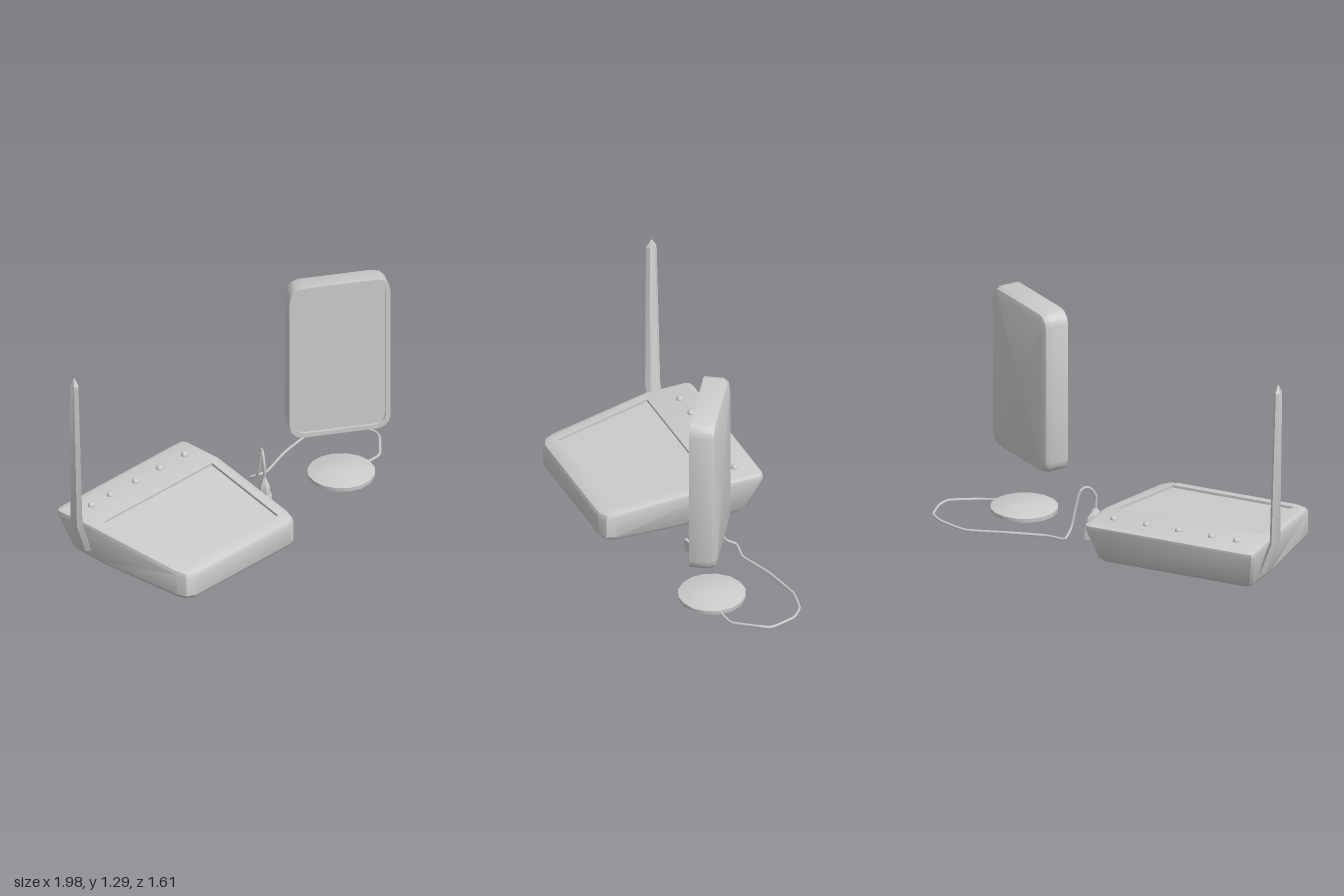
import * as THREE from 'three';
import { mergeGeometries, toCreasedNormals } from 'three/addons/utils/BufferGeometryUtils.js';

const material = new THREE.MeshStandardMaterial({ color: 0xcccccc });

function part(name, geometry, crease = 0.6) {
  const mesh = new THREE.Mesh(crease ? toCreasedNormals(geometry, crease) : geometry, material);
  mesh.name = name;
  return mesh;
}

// Skin a stack of convex rings (each clockwise seen from above), with optional end caps
function loft(rings, capStart = true, capEnd = true) {
  const n = rings[0].length, pos = rings.flat(2), index = [];
  for (let r = 0; r < rings.length - 1; r++) {
    for (let i = 0; i < n; i++) {
      const a = r * n + i, b = r * n + (i + 1) % n;
      index.push(a, a + n, b, b, a + n, b + n);
    }
  }
  const cap = (r, flip) => {
    const m = pos.length / 3;
    for (let k = 0; k < 3; k++) pos.push(rings[r].reduce((s, p) => s + p[k], 0) / n);
    for (let i = 0; i < n; i++) {
      const a = r * n + i, b = r * n + (i + 1) % n;
      index.push(m, flip ? b : a, flip ? a : b);
    }
  };
  if (capStart) cap(0, false);
  if (capEnd) cap(rings.length - 1, true);
  const g = new THREE.BufferGeometry();
  g.setAttribute('position', new THREE.Float32BufferAttribute(pos, 3));
  g.setIndex(index);
  return g.toNonIndexed();
}

const mirrored = half => [...half, ...half.map(([u, v]) => [-u, v]).reverse()];
const deckHeight = v => 0.285 - Math.max(0, v - 0.28) * 0.125;

// Tapered housing: raked back wall, flat rear deck, sloping front deck with a recess
function housingGeometry() {
  const outline = mirrored([[0.47, 0], [0.505, 0.008], [0.515, 0.03], [0.512, 0.27],
    [0.447, 0.86], [0.425, 0.918], [0.375, 0.945]]);
  const ring = (inset, height) => outline.map(([u, v]) => {
    const k = 1 - inset / 0.47, u1 = u * k, v1 = 0.47 + (v - 0.47) * k;
    const y = height(v1), rake = (0.285 - y) / 0.25 * (1 - v / 0.945);
    return [u1 * (1 - 0.12 * rake), y, v1 + 0.1 * rake];
  });
  const rings = [
    ring(0.045, () => 0.03), ring(0.014, () => 0.04), ring(0, () => 0.062),
    ring(0, v => deckHeight(v) - 0.03), ring(0.008, v => deckHeight(v) - 0.01), ring(0.028, deckHeight),
  ];
  const top = rings.at(-1);
  const screen = mirrored([[0.43, 0.3], [0.362, 0.862]]);
  const toPoint = ([u, v]) => new THREE.Vector2(u, -v);
  const deck = (points, hole) => {
    const shape = new THREE.Shape(points.map(([u, , v]) => toPoint([u, v])));
    if (hole) shape.holes.push(new THREE.Path(hole.map(toPoint)));
    const g = new THREE.ShapeGeometry(shape).rotateX(-Math.PI / 2).toNonIndexed();
    const p = g.attributes.position;
    for (let i = 0; i < p.count; i++) p.setY(i, deckHeight(p.getZ(i)));
    g.deleteAttribute('normal');
    g.deleteAttribute('uv');
    return g;
  };
  const recess = [0, 0.015].map(d => screen.map(([u, v]) => [u, deckHeight(v) - d, v]));
  return mergeGeometries([
    loft(rings, true, false),
    deck([...top.slice(0, 4), ...top.slice(10)]),
    deck(top.slice(3, 11), screen),
    loft(recess, false, true),
  ]);
}

// Flat blade antenna that follows the side wall, then stands up to a point
function antennaGeometry() {
  const sections = [[-0.48, 0.1, 0.04, 0.02], [-0.55, 0.29, 0.045, 0.021],
    [-0.569, 1.175, 0.032, 0.017], [-0.569, 1.22, 0.003, 0.002]];
  return loft(sections.map(([u, y, a, b]) => [[b, -a / 2], [b, a / 2], [0, a], [-b, a / 2], [-b, -a / 2], [0, -a]]
    .map(([du, dv]) => [u + du, y, 0.214 + dv])));
}

// Upright tablet: rounded back edges, sharp front rim, recessed screen
function tabletGeometry() {
  const ring = (inset, y) => {
    const r = 0.075 - inset * 0.5, w = 0.283 - inset - r, h = 0.473 - inset - r, points = [];
    for (let c = 0; c < 4; c++) {
      for (let s = 0; s <= 3; s++) {
        const t = (c + s / 3) * Math.PI / 2;
        points.push([(c === 0 || c === 3 ? w : -w) + r * Math.cos(t), y, (c < 2 ? h : -h) + r * Math.sin(t)]);
      }
    }
    return points;
  };
  return loft([ring(0.045, -0.145), ring(0.014, -0.134), ring(0, -0.105), ring(0, 0),
    ring(0.026, 0), ring(0.026, -0.015)]).rotateX(Math.PI / 2);
}

// Hexagonal plug, long in z, narrowing to the cable
function plugGeometry() {
  const levels = [[0, 1], [0.07, 1], [0.071, 0.74], [0.125, 0.72], [0.15, 0.38], [0.17, 0.2]];
  return loft(levels.map(([y, s]) => Array.from({ length: 6 }, (_, i) => {
    const t = i * Math.PI / 3 + Math.PI / 6;
    return [0.041 * s * Math.cos(t), y, 0.068 * s * Math.sin(t)];
  })));
}

export function createModel() {
  const model = new THREE.Group();

  const router = new THREE.Group();
  router.name = 'router';
  router.position.set(-0.58, 0, -0.2);
  router.rotation.y = 0.572;
  router.add(part('housing', housingGeometry()), part('antenna', antennaGeometry(), 0.4));
  for (const u of [-0.354, -0.203, -0.006, 0.186, 0.382]) {
    const light = part('indicatorLight', new THREE.SphereGeometry(0.02, 12, 8), 0);
    light.position.set(u, 0.287, 0.139);
    router.add(light);
  }

  const tablet = part('tablet', tabletGeometry());
  tablet.position.set(0.673, 0.818, -0.22);

  // Low charging disc
  const profile = [[0, 0.02], [0.17, 0.02], [0.185, 0.028], [0.187, 0.052], [0.09, 0.077], [0, 0.08]];
  const disc = part('chargingDisc',
    new THREE.LatheGeometry(profile.map(p => new THREE.Vector2(...p)), 16));
  disc.position.set(0.7, 0, -0.305);

  const plug = part('plug', plugGeometry());
  plug.position.set(0.23, 0, -0.147);

  // Cable arches out of the plug and runs along the ground to the disc
  const path = [[0.23, 0.16, -0.145], [0.23, 0.24, -0.14], [0.23, 0.295, -0.175], [0.232, 0.308, -0.21],
    [0.232, 0.29, -0.245], [0.235, 0.2, -0.27], [0.233, 0.12, -0.29], [0.225, 0.08, -0.31],
    [0.2, 0.045, -0.365], [0.31, 0.04, -0.415], [0.445, 0.045, -0.575], [0.615, 0.038, -0.74],
    [0.77, 0.05, -0.8], [0.87, 0.052, -0.785], [0.975, 0.045, -0.68], [0.988, 0.052, -0.61],
    [0.95, 0.035, -0.45], [0.86, 0.045, -0.37]].map(p => new THREE.Vector3(...p));
  const cable = part('cable', new THREE.TubeGeometry(
    new THREE.CatmullRomCurve3(path, false, 'catmullrom', 0.2), 70, 0.008, 6), 0);

  model.add(router, tablet, disc, plug, cable);
  return model;
}
